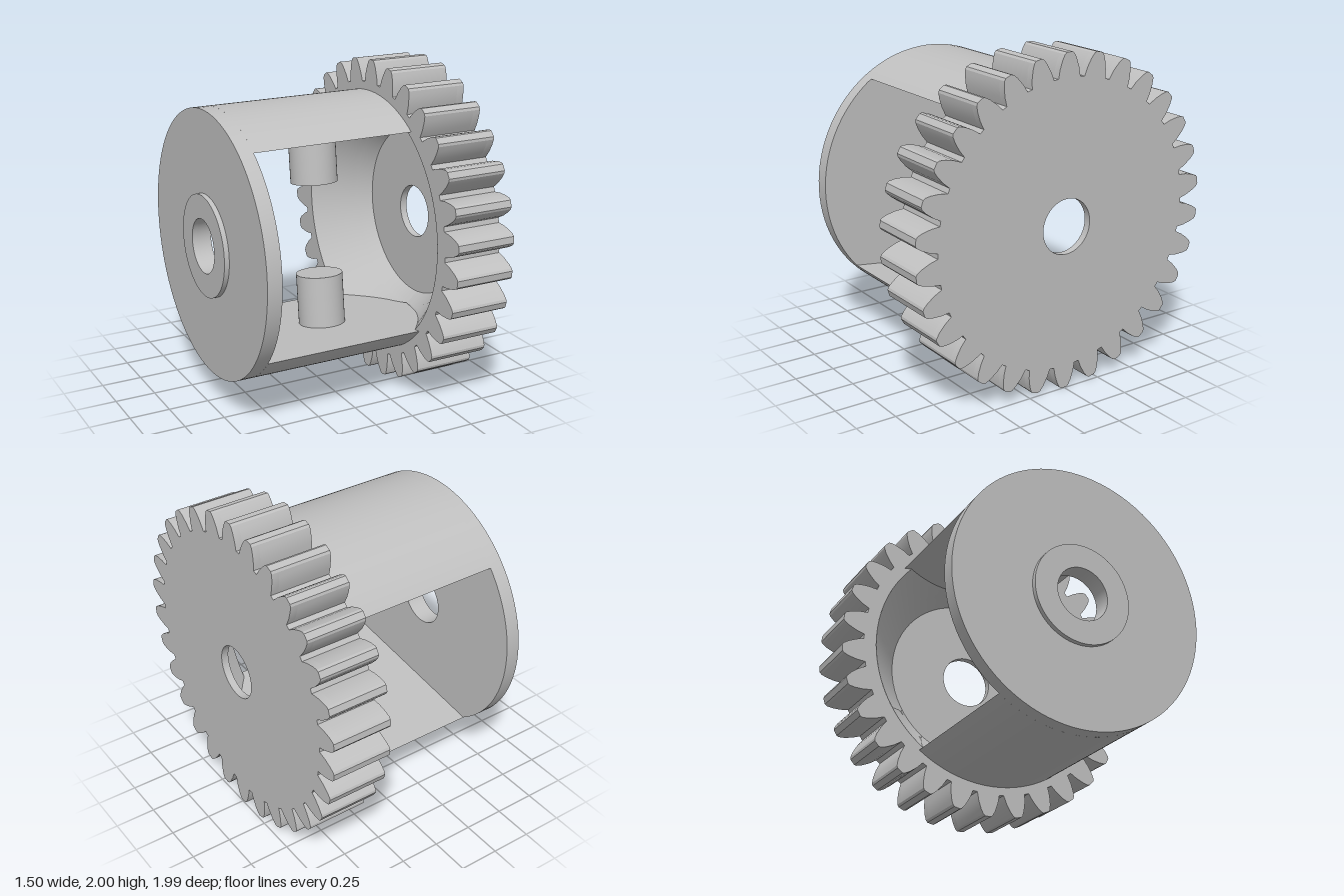
import * as THREE from 'three';
import { toCreasedNormals } from 'three/addons/utils/BufferGeometryUtils.js';

const TILT = 0.119;      // lean of the windows and pins about the axle
const SLAB = 0.6;        // half height of the window opening
const BODY_R = 0.81, BORE_R = 0.165;
const CONE_R = 0.78, FLOOR_R = 0.53;   // gear recess mouth and floor
const X = { boss: -0.75, disc: -0.72, inner: -0.63, gear: 0.37, floor: 0.7, end: 0.745 };

export function createModel() {
  const steel = new THREE.MeshStandardMaterial({ color: 0xc0c0c0 });
  steel.name = 'steel grey';
  steel.side = THREE.DoubleSide;

  const model = new THREE.Group();
  model.name = 'gearCarrier';
  // Inside this frame z runs along the axle and y is square to the window faces
  const axle = new THREE.Group();
  axle.name = 'axleFrame';
  axle.position.y = 1;
  axle.rotation.y = Math.PI / 2;
  const frame = new THREE.Group();
  frame.name = 'carrier';
  frame.rotation.z = -TILT;
  axle.add(frame);
  model.add(axle);

  const add = (name, geometry) => {
    const mesh = new THREE.Mesh(geometry, steel);
    mesh.name = name;
    frame.add(mesh);
    return mesh;
  };
  const extrude = (shape, from, to) => {
    const g = new THREE.ExtrudeGeometry(shape, { depth: to - from, bevelEnabled: false, curveSegments: 48 });
    g.translate(0, 0, from);
    return toCreasedNormals(g, 0.35);
  };
  const circle = (r, Type = THREE.Shape) => {
    const c = new Type();
    c.absarc(0, 0, r, 0, Math.PI * 2, false);
    return c;
  };
  const ring = (r) => {
    const s = circle(r);
    s.holes.push(circle(BORE_R, THREE.Path));
    return s;
  };

  // Tooth outline: 30 teeth, each from [radius, half width] pairs
  const gearShape = () => {
    const flank = [[0.86, 0.075], [0.91, 0.066], [0.96, 0.049], [0.99, 0.033], [1, 0.02]];
    const points = [];
    for (let i = 0; i < 30; i++) {
      const mid = Math.PI / 2 + TILT + (i * Math.PI * 2) / 30;
      const put = (r, w) => {
        const a = mid + Math.asin(w / r);
        points.push(new THREE.Vector2(r * Math.cos(a), r * Math.sin(a)));
      };
      flank.forEach(([r, w]) => put(r, -w));
      [...flank].reverse().forEach(([r, w]) => put(r, w));
    }
    return new THREE.Shape(points);
  };

  // Gear: outer web with bore, and toothed rim around the recess
  const web = gearShape();
  web.holes.push(circle(BORE_R, THREE.Path));
  add('gearWeb', extrude(web, X.floor, X.end));

  const rim = gearShape();
  const open = Math.asin(SLAB / CONE_R);
  const mouth = new THREE.Path();
  mouth.absarc(0, 0, CONE_R, -open, open, false);
  mouth.absarc(0, 0, CONE_R, Math.PI - open, Math.PI + open, false);
  mouth.closePath();
  rim.holes.push(mouth);
  add('gearRim', extrude(rim, X.gear, X.floor));

  // Conical recess wall, cut off by the flat window faces
  for (const side of [0, Math.PI]) {
    const g = new THREE.PlaneGeometry(1, 1, 32, 16);
    const p = g.attributes.position;
    for (let i = 0; i < p.count; i++) {
      const u = p.getX(i) * 2, v = p.getY(i) + 0.5;
      const r = CONE_R + (FLOOR_R - CONE_R) * v;
      const a = side + u * Math.asin(Math.min(1, SLAB / r));
      p.setXYZ(i, r * Math.cos(a), r * Math.sin(a), X.gear + (X.floor - X.gear) * v);
    }
    g.computeVertexNormals();
    // turn the faces toward the axle
    const index = g.index.array;
    const n = g.attributes.normal;
    const mid = Math.floor(p.count / 2);
    if (n.getX(mid) * p.getX(mid) + n.getY(mid) * p.getY(mid) > 0) {
      for (let i = 0; i < index.length; i += 3) [index[i], index[i + 1]] = [index[i + 1], index[i]];
      g.computeVertexNormals();
    }
    add('recessWall', g);
  }

  // End disc with its raised boss
  add('endDisc', extrude(ring(BODY_R), X.disc, X.inner));
  add('boss', extrude(ring(0.31), X.boss, X.disc));

  // Two solid bridges joining disc and gear, each with an inward pin
  const a = Math.asin(SLAB / BODY_R);
  const segment = new THREE.Shape();
  segment.absarc(0, 0, BODY_R, a, Math.PI - a, false);
  segment.closePath();
  for (const [name, turn] of [['upper', 0], ['lower', Math.PI]]) {
    add(name + 'Bridge', extrude(segment, X.inner, X.gear)).rotation.z = turn;
    const pin = new THREE.CylinderGeometry(0.143, 0.143, 0.36, 40);
    pin.translate(0, 0.285 + 0.18, 0);
    add(name + 'Pin', pin).rotation.z = turn;
  }
  return model;
}
